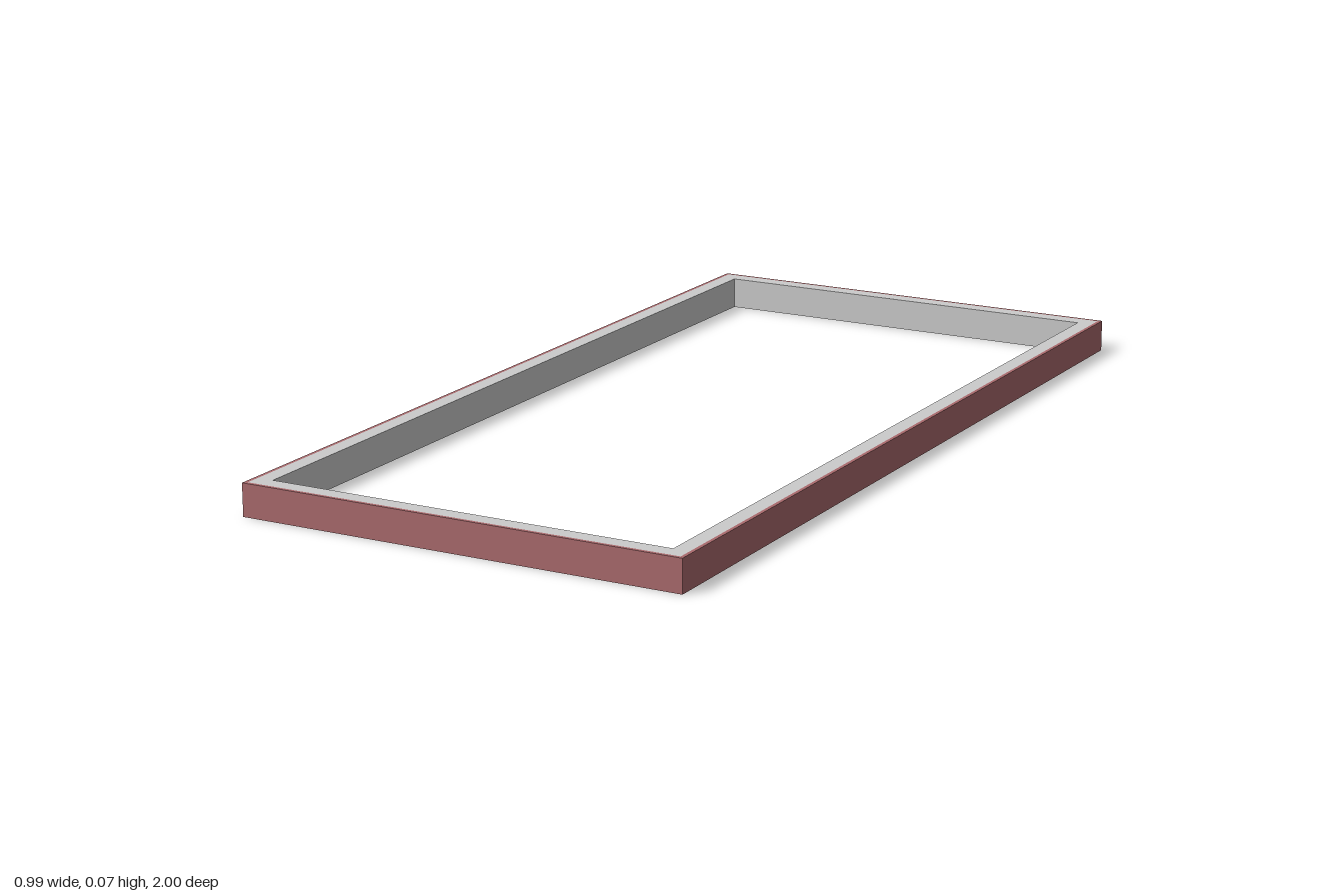
import * as THREE from 'three';

const W = 0.985, L = 2, H = 0.07; // overall width, length, height
const SKIN = 0.008, RAIL = 0.043; // outer band thickness, total rail width

// Rectangular ring lying flat, between two insets from the outer edge
function ring(name, insetOut, insetIn, color) {
  const corners = (inset) => {
    const x = W / 2 - inset, z = L / 2 - inset;
    return [[-x, -z], [x, -z], [x, z], [-x, z]].map(([a, b]) => new THREE.Vector2(a, b));
  };
  const shape = new THREE.Shape(corners(insetOut));
  shape.holes.push(new THREE.Path(corners(insetIn).reverse()));
  const geometry = new THREE.ExtrudeGeometry(shape, { depth: H, bevelEnabled: false });
  geometry.rotateX(-Math.PI / 2);
  const mesh = new THREE.Mesh(geometry, new THREE.MeshStandardMaterial({ color }));
  mesh.name = name;
  return mesh;
}

export function createModel() {
  const group = new THREE.Group();
  group.name = 'rectangularFrame';
  // Thin coloured band around the outside
  group.add(ring('outerBand', 0, SKIN, 0xaa6a6d));
  // Grey rails lining the opening
  group.add(ring('innerRails', SKIN, RAIL, 0xcccccc));
  return group;
}
